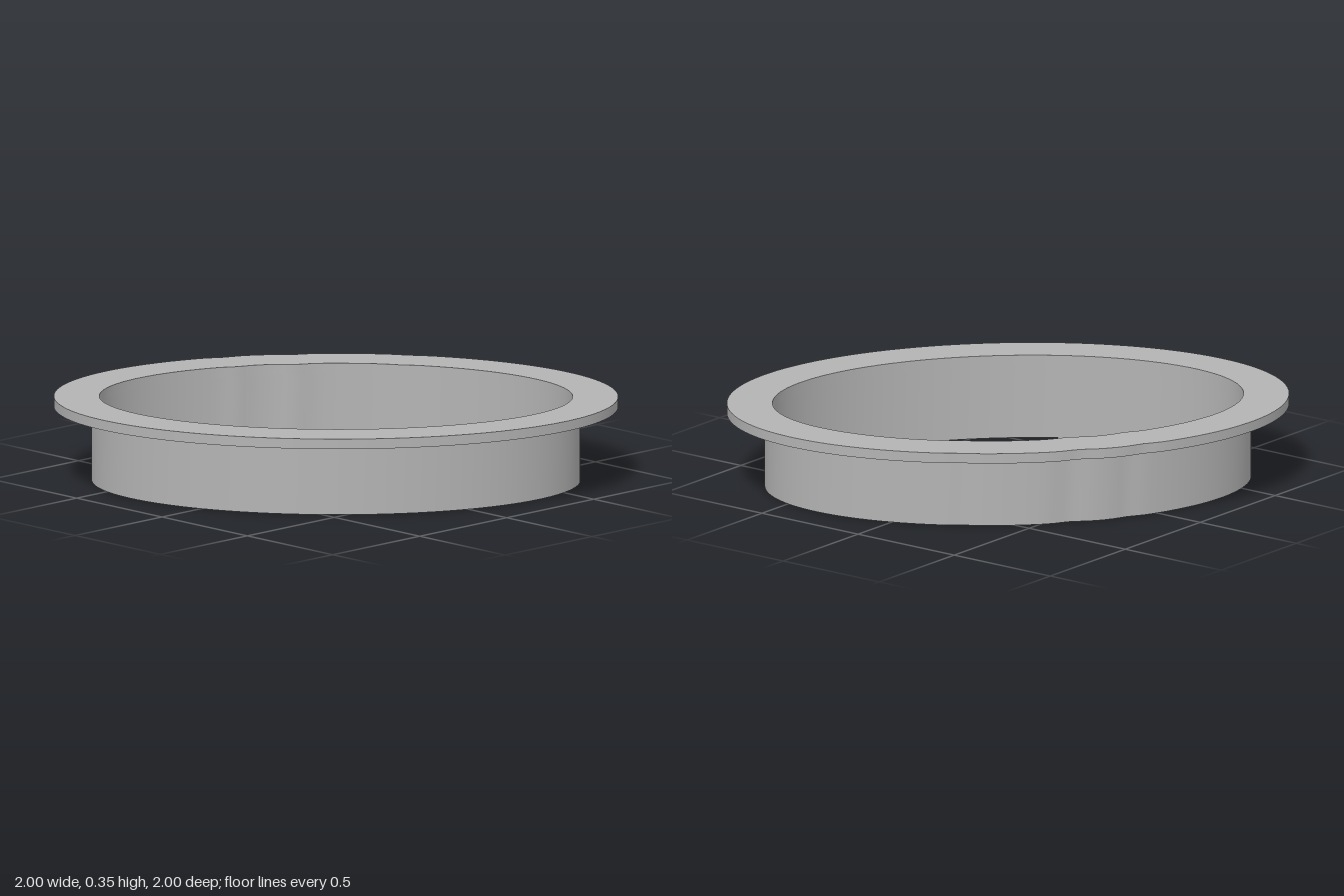
import * as THREE from 'three';
import { mergeGeometries } from 'three/addons/utils/BufferGeometryUtils.js';

const SEGMENTS = 180;
const A = 1.158, B = 0.812; // semi-axes of the rim, long axis turned 45 degrees

// Shallow waves on one long side of the rim: [position along long axis, depth, width]
const DENTS = [[-0.2, 0.015, 0.07], [-0.47, 0.009, 0.05], [0.29, 0.006, 0.05]];

// Point on the rim at angle t, moved inwards by inset
function rimPoint(t, inset) {
  const u = A * Math.cos(t), v = B * Math.sin(t);
  let shift = -inset;
  if (v > 0) for (const [c, depth, w] of DENTS) shift -= depth * Math.exp(-(((u - c) / w) ** 2));
  const n = new THREE.Vector2(Math.cos(t) / A, Math.sin(t) / B).normalize();
  const p = u + n.x * shift, q = v + n.y * shift;
  return [(p - q) * Math.SQRT1_2, (-p - q) * Math.SQRT1_2];
}

// One closed band between two profile points [inset, height]
function band(from, to) {
  const positions = [], index = [];
  for (let i = 0; i < SEGMENTS; i++) {
    const t = (i / SEGMENTS) * Math.PI * 2;
    for (const [inset, y] of [from, to]) {
      const [x, z] = rimPoint(t, inset);
      positions.push(x, y, z);
    }
    const a = 2 * i, b = 2 * ((i + 1) % SEGMENTS);
    index.push(a, b, b + 1, a, b + 1, a + 1);
  }
  const g = new THREE.BufferGeometry();
  g.setAttribute('position', new THREE.Float32BufferAttribute(positions, 3));
  g.setIndex(index);
  g.computeVertexNormals();
  return g;
}

// Sweep an open profile round the rim, keeping its corners sharp
function sweep(name, profile, material) {
  const bands = profile.slice(1).map((p, i) => band(profile[i], p));
  const mesh = new THREE.Mesh(mergeGeometries(bands), material);
  mesh.name = name;
  return mesh;
}

export function createModel() {
  const group = new THREE.Group();
  group.name = 'flangedRing';
  const grey = new THREE.MeshStandardMaterial({ color: 0xb3b3b3 });
  grey.name = 'grey';

  const outer = 0, wall = 0.155, inner = 0.187;
  const top = 0.352, under = 0.31;
  // Flat flange: underside, outer edge, top face, bore edge
  group.add(sweep('flange', [[wall, under], [outer, under], [outer, top], [inner, top], [inner, under]], grey));
  // Thin collar below it: bore, bottom lip, outer wall
  group.add(sweep('collar', [[inner, under], [inner, 0], [wall, 0], [wall, under]], grey));
  return group;
}
